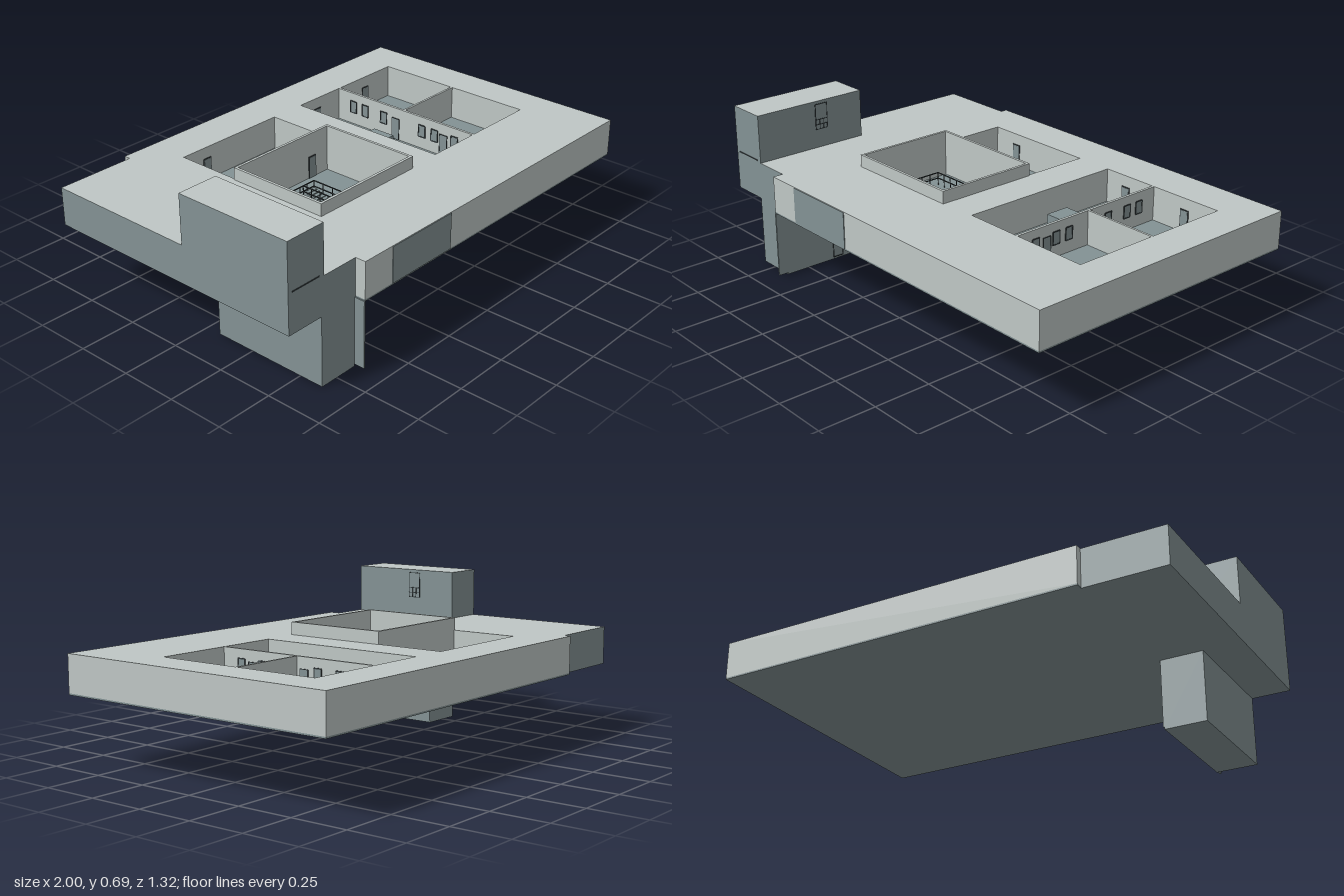
import * as THREE from 'three';

const mat = (name, color) => {
  const m = new THREE.MeshStandardMaterial({ color });
  m.name = name;
  return m;
};

export function createModel() {
  const model = new THREE.Group();
  model.name = 'building';
  const light = mat('paleConcrete', 0xbfc7c5);
  const dark = mat('slatePanel', 0x839294);
  const frame = mat('charcoalFrame', 0x343b3d);
  const lightTop = [dark, dark, light, dark, dark, dark];

  // Box given by its extents on each axis
  const box = (name, material, [x0, x1], [y0, y1], [z0, z1], parent = model) => {
    const mesh = new THREE.Mesh(new THREE.BoxGeometry(x1 - x0, y1 - y0, z1 - z0), material);
    mesh.position.set((x0 + x1) / 2, (y0 + y1) / 2, (z0 + z1) / 2);
    mesh.name = name;
    parent.add(mesh);
    return mesh;
  };
  const group = (name) => {
    const g = new THREE.Group();
    g.name = name;
    model.add(g);
    return g;
  };
  const rect = (Type, x0, x1, z0, z1) => new Type([
    new THREE.Vector2(x0, -z1), new THREE.Vector2(x1, -z1),
    new THREE.Vector2(x1, -z0), new THREE.Vector2(x0, -z0)]);

  // Main storey with two open courtyards
  const BASE = 0.31, FLOOR = 0.32, ROOF = 0.47;
  const plan = rect(THREE.Shape, -0.645, 1, -0.66, 0.657);
  plan.holes.push(rect(THREE.Path, -0.49, 0.05, -0.47, 0.3), rect(THREE.Path, 0.22, 0.83, -0.47, 0.295));
  const storeyGeometry = new THREE.ExtrudeGeometry(plan, { depth: ROOF - BASE, bevelEnabled: false });
  storeyGeometry.rotateX(-Math.PI / 2);
  const storey = new THREE.Mesh(storeyGeometry, light);
  storey.position.y = BASE;
  storey.name = 'mainStorey';
  model.add(storey);

  // Underside, side wing and courtyard floors
  box('undersidePlate', dark, [-0.645, 1], [0.303, BASE], [-0.66, 0.657]);
  box('sideWing', lightTop, [-1, -0.645], [0.303, ROOF], [-0.63, 0.61]);
  box('westCourtyardFloor', dark, [-0.495, 0.055], [0.305, FLOOR], [-0.475, 0.305]);
  box('eastCourtyardFloor', dark, [0.215, 0.835], [0.305, FLOOR], [-0.475, 0.3]);
  box('frontPanel', dark, [-0.49, -0.14], [BASE, ROOF - 0.002], [0.655, 0.66]);

  // Upper and lower stair towers
  box('upperTower', lightTop, [-1, -0.815], [ROOF, 0.685], [0.07, 0.61]);
  box('lowerTower', dark, [-0.83, -0.648], [0, 0.304], [0.07, 0.61]);
  box('lowerTowerSideWall', dark, [-0.65, -0.643], [0.01, 0.304], [0.07, 0.657]);
  box('frontSlot', frame, [-0.98, -0.84], [0.475, 0.48], [0.608, 0.612]);

  // Rectangular outline on a wall facing along x
  const outlineX = (name, x, [y0, y1], [z0, z1], t = 0.003) => {
    const g = group(name), xs = [x - 0.003, x + 0.003];
    for (const z of [z0, z1]) box('frameSide', frame, xs, [y0, y1], [z - t / 2, z + t / 2], g);
    for (const y of [y0, y1]) box('frameBar', frame, xs, [y - t / 2, y + t / 2], [z0, z1], g);
    return g;
  };
  outlineX('lowerTowerDoor', -0.643, [0.012, 0.115], [0.32, 0.37]);
  const balcony = outlineX('upperTowerDoor', -0.815, [0.555, 0.67], [0.255, 0.315]);
  box('doorLeaf', dark, [-0.816, -0.813], [0.555, 0.67], [0.255, 0.315], balcony);
  for (const y of [0.575, 0.598]) {
    box('balconyRail', frame, [-0.814, -0.811], [y, y + 0.003], [0.255, 0.315], balcony);
  }
  for (const z of [0.275, 0.295]) {
    box('balconyPost', frame, [-0.814, -0.811], [0.555, 0.6], [z - 0.001, z + 0.001], balcony);
  }

  // Raised walls around the west courtyard
  const parapet = group('parapet'), PY = [FLOOR, 0.525];
  for (const x of [-0.497, 0.045]) box('parapetSide', light, [x, x + 0.012], PY, [-0.165, 0.307], parapet);
  for (const z of [-0.165, 0.295]) box('parapetEnd', light, [-0.485, 0.045], PY, [z, z + 0.012], parapet);

  // East courtyard partitions
  box('longPartition', light, [0.477, 0.489], [FLOOR, ROOF], [-0.47, 0.295]);
  box('crossPartition', light, [0.489, 0.83], [FLOOR, ROOF], [-0.095, -0.085]);

  // Windows and doors on both faces of the long partition
  for (const z of [-0.38, -0.31, -0.2, 0.02, 0.09, 0.2]) {
    for (const x of [0.477, 0.489]) {
      box('windowGlass', dark, [x - 0.002, x + 0.002], [0.375, 0.43], [z - 0.018, z + 0.018]);
      outlineX('windowFrame', x, [0.375, 0.43], [z - 0.018, z + 0.018], 0.005);
    }
  }
  for (const z of [-0.13, 0.14]) {
    for (const x of [0.477, 0.489]) {
      box('partitionDoor', dark, [x - 0.002, x + 0.002], [FLOOR, 0.42], [z - 0.02, z + 0.02]);
      outlineX('partitionDoorFrame', x, [FLOOR, 0.42], [z - 0.02, z + 0.02]);
    }
  }
  // Doors in the courtyard end walls
  for (const [x, z] of [[-0.05, -0.153], [-0.36, -0.47], [0.33, -0.47], [0.66, -0.47], [-0.1, -0.165]]) {
    box('courtyardDoor', frame, [x - 0.022, x + 0.022], [FLOOR, 0.42], [z - 0.003, z + 0.003]);
    box('courtyardDoorLeaf', dark, [x - 0.018, x + 0.018], [FLOOR, 0.416], [z - 0.004, z + 0.004]);
  }

  // Low blocks standing in the courtyards
  box('eastBlock', dark, [0.29, 0.365], [FLOOR, 0.4], [-0.16, -0.05]);
  box('westBlock', dark, [-0.18, -0.03], [FLOOR, 0.345], [-0.415, -0.375]);

  // Stair and railing in the west courtyard
  const stair = group('courtyardStair');
  for (let i = 0; i < 6; i++) {
    const z = 0.06 - i * 0.0175;
    box('step', dark, [-0.218, -0.157], [FLOOR, 0.326 + i * 0.004], [z - 0.0175, z], stair);
  }
  const rail = (a, b) => {
    const A = new THREE.Vector2(...a), B = new THREE.Vector2(...b);
    const n = Math.max(1, Math.round(A.distanceTo(B) / 0.045));
    for (let i = 0; i <= n; i++) {
      const p = A.clone().lerp(B, i / n);
      box('railPost', frame, [p.x - 0.0015, p.x + 0.0015], [FLOOR, 0.378], [p.y - 0.0015, p.y + 0.0015], stair);
    }
    const xs = [Math.min(a[0], b[0]) - 0.002, Math.max(a[0], b[0]) + 0.002];
    const zs = [Math.min(a[1], b[1]) - 0.002, Math.max(a[1], b[1]) + 0.002];
    for (const y of [0.35, 0.376]) box('handrail', frame, xs, [y, y + 0.004], zs, stair);
  };
  rail([-0.408, -0.045], [-0.157, -0.045]);
  rail([-0.408, -0.045], [-0.408, 0.14]);
  rail([-0.408, 0.14], [-0.147, 0.14]);
  rail([-0.222, -0.045], [-0.222, 0.14]);
  rail([-0.157, -0.045], [-0.157, 0.11]);

  return model;
}
